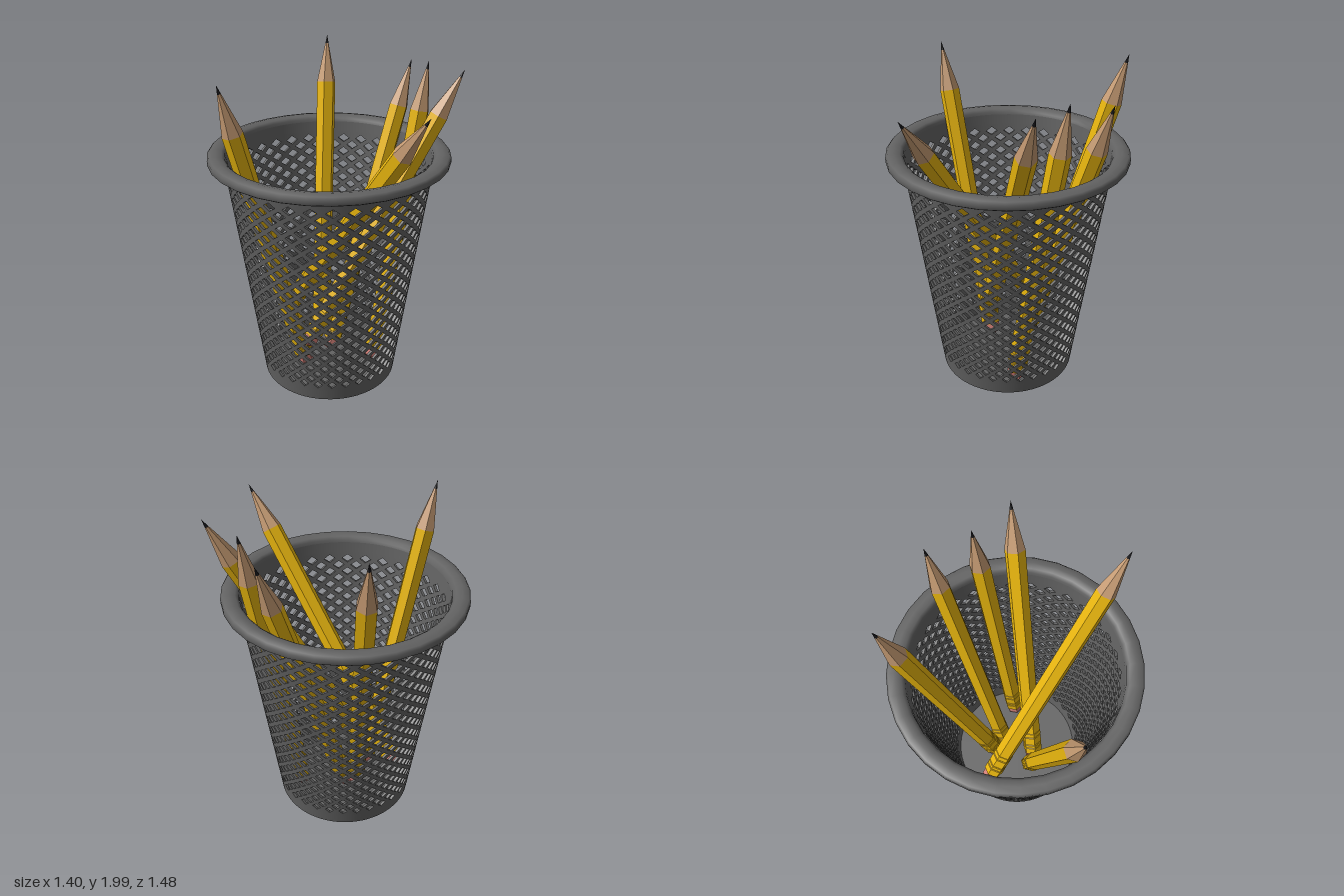
import * as THREE from 'three';
import { toCreasedNormals } from 'three/addons/utils/BufferGeometryUtils.js';

const mat = (color, flatShading = false) => new THREE.MeshStandardMaterial({ color, flatShading });
const metal = mat(0x626262);
const paint = mat(0xe6b40e, true);
const wood = mat(0xc49a72, true);
const lead = mat(0x222226, true);
const rubber = mat(0xd6827a, true);

const WALL = 0.016, COLS = 32, ROWS = 29;
const Y_FIRST = 0.118, PITCH = 0.0438;
const wallRadius = (y) => 0.42 + 0.19 * (y / 1.43);

// Surface of revolution from [radius, height] pairs
function lathe(name, points, segments, material) {
  const geo = new THREE.LatheGeometry(points.map(([r, y]) => new THREE.Vector2(r, y)), segments);
  const mesh = new THREE.Mesh(geo, material);
  mesh.name = name;
  return mesh;
}

// Perforated wall: diamond tiles, each a frame around a diamond hole with thickness
function meshWall() {
  const pos = [];
  const at = (col, row, depth) => {
    const a = (col / COLS) * Math.PI * 2, y = Y_FIRST + row * PITCH, r = wallRadius(y) - depth;
    return [r * Math.sin(a), y, r * Math.cos(a)];
  };
  const tri = (a, b, c) => pos.push(...a, ...b, ...c);
  const quad = (a, b, c, d) => { tri(a, b, c); tri(a, c, d); };
  const corners = [[0.5, 0], [0, 1], [-0.5, 0], [0, -1]];

  for (let row = 0; row < ROWS; row++) {
    for (let i = 0; i < COLS; i++) {
      const col = i + (row % 2) / 2;
      const ring = (su, sv, depth) => corners.map(([u, v]) => at(col + u * su, row + v * sv, depth));
      const edge = ring(1, 1, 0), hole = ring(0.64, 0.6, 0);
      const edgeIn = ring(1, 1, WALL), holeIn = ring(0.64, 0.6, WALL);
      for (let k = 0; k < 4; k++) {
        const n = (k + 1) % 4;
        quad(edge[k], edge[n], hole[n], hole[k]);
        quad(edgeIn[n], edgeIn[k], holeIn[k], holeIn[n]);
        quad(hole[k], hole[n], holeIn[n], holeIn[k]);
      }
    }
  }
  // Solid half tiles close the zigzag at the lower and upper borders
  for (const [row, dir] of [[-1, 1], [ROWS, -1]]) {
    for (let i = 0; i < COLS; i++) {
      const col = i + Math.abs(row % 2) / 2;
      for (const depth of [0, WALL]) {
        const a = at(col - 0.5, row, depth), m = at(col, row, depth);
        const b = at(col + 0.5, row, depth), tip = at(col, row + dir, depth);
        if ((dir > 0) === (depth === 0)) { tri(a, m, tip); tri(m, b, tip); }
        else { tri(m, a, tip); tri(b, m, tip); }
      }
    }
  }
  const geo = new THREE.BufferGeometry();
  geo.setAttribute('position', new THREE.Float32BufferAttribute(pos, 3));
  const mesh = new THREE.Mesh(toCreasedNormals(geo, 0.5), metal);
  mesh.name = 'meshWall';
  return mesh;
}

function createCup() {
  const cup = new THREE.Group();
  cup.name = 'cup';
  const low = Y_FIRST - PITCH, high = Y_FIRST + ROWS * PITCH, top = 1.45;
  const outer = (y) => [wallRadius(y), y];
  const inner = (y) => [wallRadius(y) - WALL, y];
  cup.add(
    meshWall(),
    // Solid bands below and above the perforation
    lathe('lowerBandOutside', [outer(0), outer(low)], 64, metal),
    lathe('lowerBandInside', [inner(low), inner(0.015)], 64, metal),
    lathe('upperBandOutside', [outer(high), outer(top)], 64, metal),
    lathe('upperBandInside', [inner(top), inner(high)], 64, metal),
    // Floor
    lathe('floorUnderside', [[0, 0], outer(0)], 64, metal),
    lathe('floorTop', [inner(0.015), [0, 0.015]], 64, metal),
    // Rolled rim
    lathe('rim', [
      [0.6, 1.43], [0.692, 1.43], [0.702, 1.438], [0.702, 1.466], [0.69, 1.48], [0.655, 1.488],
      [0.62, 1.48], [0.602, 1.466], [0.598, 1.43],
    ], 32, metal),
  );
  return cup;
}

// Hexagonal pencil standing on its eraser at the origin
function createPencil() {
  const L = 1.95, R = 0.06, shoulder = L - 0.29, leadStart = L - 0.05;
  const leadR = R * (0.05 / 0.29);
  const pencil = new THREE.Group();
  pencil.name = 'pencil';
  pencil.add(
    lathe('eraser', [[0, 0], [0.045, 0], [0.054, 0.012], [0.054, 0.08]], 6, rubber),
    // Ferrule with two pairs of grooves
    lathe('ferrule', [
      [0.05, 0.07], [0.063, 0.07], [0.063, 0.12], [0.058, 0.125], [0.063, 0.13], [0.063, 0.15],
      [0.058, 0.155], [0.063, 0.16], [0.063, 0.22], [0.058, 0.225], [0.063, 0.23], [0.063, 0.26],
      [R, 0.262],
    ], 6, paint),
    lathe('shaft', [[R, 0.26], [R, shoulder]], 6, paint),
    lathe('sharpenedWood', [[R, shoulder], [leadR, leadStart]], 6, wood),
    lathe('leadTip', [[leadR, leadStart], [0, L]], 6, lead),
  );
  return pencil;
}

// Tip and eraser end of every pencil
const PENCILS = [
  [[-0.63, 1.945, -0.245], [-0.16, 0.05, -0.1]],
  [[-0.11, 1.86, 0.735], [-0.065, 0.27, -0.39]],
  [[0.49, 1.99, -0.52], [0.06, 0.09, -0.18]],
  [[0.525, 1.94, 0.495], [-0.18, 0.2, -0.07]],
  [[0.553, 1.94, 0.228], [0.2, 0.03, 0.155]],
  [[0.683, 1.89, 0.006], [0.06, 0.05, -0.095]],
];

export function createModel() {
  const model = new THREE.Group();
  model.name = 'pencilCup';
  const cup = createCup();
  cup.position.z = -0.046;
  model.add(cup);

  const up = new THREE.Vector3(0, 1, 0);
  for (const [tip, end] of PENCILS) {
    const tipPoint = new THREE.Vector3(...tip);
    const dir = tipPoint.clone().sub(new THREE.Vector3(...end)).normalize();
    const pencil = createPencil();
    pencil.quaternion.setFromUnitVectors(up, dir);
    pencil.position.copy(tipPoint).addScaledVector(dir, -1.95);
    model.add(pencil);
  }
  return model;
}
